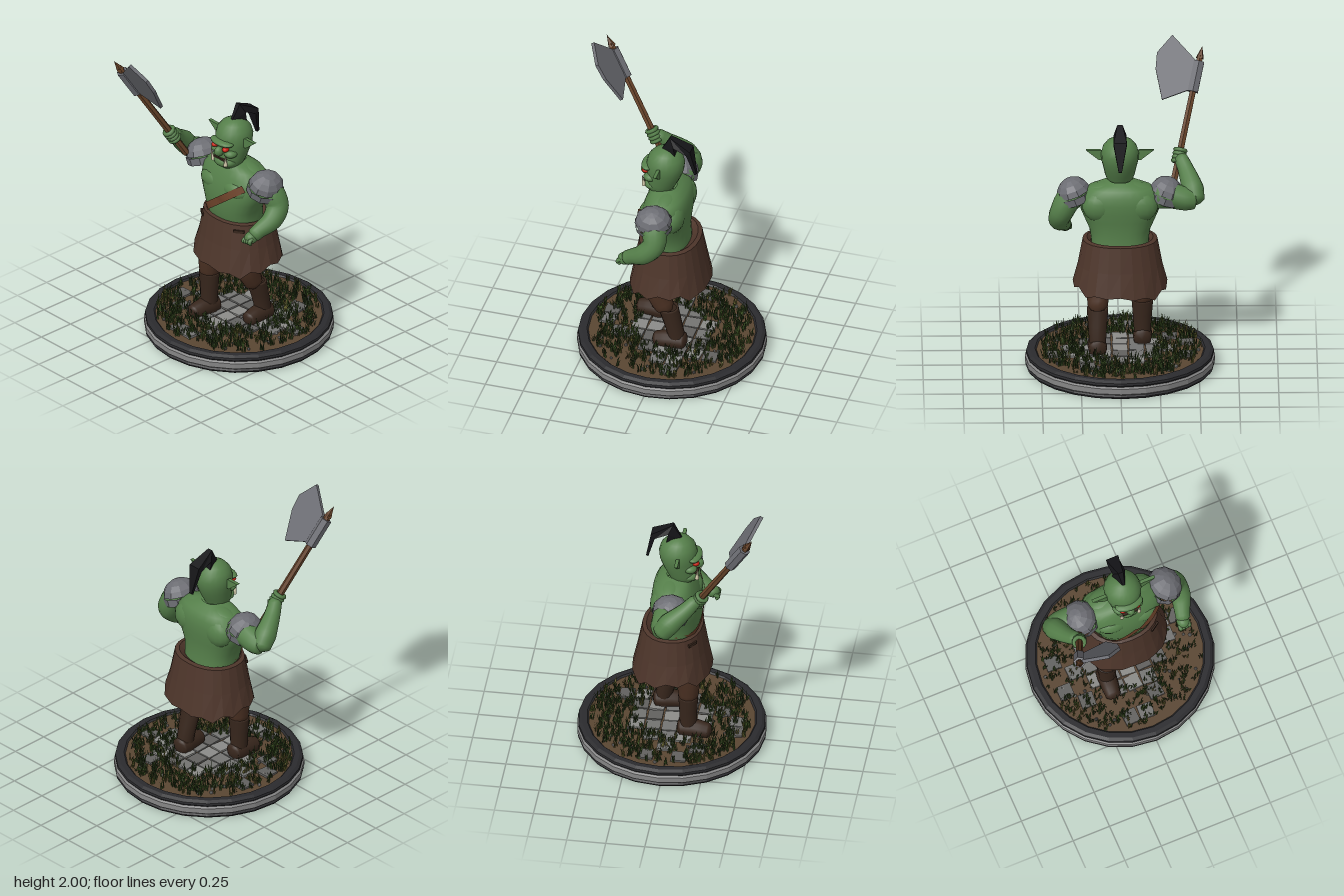
import * as THREE from 'three';
import { mergeVertices } from 'three/addons/utils/BufferGeometryUtils.js';

const mat = (color, flatShading = false) =>
  new THREE.MeshStandardMaterial({ color, flatShading, side: THREE.DoubleSide });
const SKIN = mat(0x557f4a), LEATHER = mat(0x4d352a, true), TROUSER = mat(0x4a3022), BOOT = mat(0x37261c);
const STEEL = mat(0x6c6d73, true), WOOD = mat(0x664329, true), BLACK = mat(0x151518, true), STRAP = mat(0x6b4129);
const BONE = mat(0xd8cfb0), RED = mat(0xc4200f), DARK = mat(0x2b2b2e, true), SILVER = mat(0x858585, true);
const SOIL = mat(0x5a4632), V = (a) => new THREE.Vector3(...a);

let seed = 7;
const rnd = () => (seed = (seed * 16807) % 2147483647) / 2147483647;

function add(parent, name, geo, material, pos = [0, 0, 0], rot = [0, 0, 0], scale = [1, 1, 1]) {
  const m = new THREE.Mesh(geo, material);
  m.name = name;
  m.position.set(...pos);
  m.rotation.set(...rot);
  m.scale.set(...scale);
  parent.add(m);
  return m;
}
const blob = (parent, name, material, pos, radii, rot) =>
  add(parent, name, new THREE.SphereGeometry(1, 16, 10), material, pos, rot, radii);

function fromArrays(pos, idx) {
  const g = new THREE.BufferGeometry();
  g.setAttribute('position', new THREE.Float32BufferAttribute(pos, 3));
  if (idx) g.setIndex(idx);
  g.computeVertexNormals();
  return g;
}

// Stacked rounded cross-sections, each [y, half width, half depth, centre z]
function loft(rows, seg, p = 2, yShift = () => 0) {
  const pos = [], idx = [];
  const r = (v) => Math.sign(v) * Math.abs(v) ** (2 / p);
  rows.forEach(([y, rx, rz, zc], j) => {
    for (let i = 0; i < seg; i++) {
      const a = (i / seg) * Math.PI * 2;
      pos.push(rx * r(Math.sin(a)), y + yShift(j, i), zc + rz * r(Math.cos(a)));
      if (j === 0) continue;
      const k = (i + 1) % seg, lo = (j - 1) * seg, hi = j * seg;
      idx.push(lo + i, lo + k, hi + k, lo + i, hi + k, hi + i);
    }
  });
  return fromArrays(pos, idx);
}

// Rounded limb along a path with a radius at each point
function limb(points, radii, seg = 12) {
  const c = new THREE.CatmullRomCurve3(points.map(V)), n = 20;
  c.getPointAt = (t) => c.getPoint(t);
  c.getTangentAt = (t) => c.getTangent(t);
  let g = new THREE.TubeGeometry(c, n, 1, seg);
  const p = g.attributes.position, v = new THREE.Vector3();
  for (let i = 0; i <= n; i++) {
    const t = i / n, u = t * (radii.length - 1), k = Math.min(Math.floor(u), radii.length - 2);
    const rad = THREE.MathUtils.lerp(radii[k], radii[k + 1], u - k) * Math.sqrt(Math.min(1, Math.min(t, 1 - t) / 0.1));
    const o = c.getPoint(t);
    for (let j = 0; j <= seg; j++) {
      const q = i * (seg + 1) + j;
      v.fromBufferAttribute(p, q).sub(o).multiplyScalar(rad).add(o);
      p.setXYZ(q, v.x, v.y, v.z);
    }
  }
  g.deleteAttribute('uv');
  g.deleteAttribute('normal');
  g = mergeVertices(g, 1e-5);
  g.computeVertexNormals();
  return g;
}
const plate = (pts, depth) => new THREE.ExtrudeGeometry(
  new THREE.Shape(pts.map((q) => new THREE.Vector2(...q))), { depth, bevelEnabled: false });

function buildBase(parent) {
  const base = new THREE.Group();
  base.name = 'base';
  base.position.z = -0.01;
  parent.add(base);
  const ring = (name, pts, m) => add(base, name, new THREE.LatheGeometry(pts.map((q) => new THREE.Vector2(...q)), 24), m);
  ring('baseFoot', [[0, 0], [0.59, 0], [0.6, 0.015], [0.59, 0.025]], DARK);
  ring('baseBand', [[0.59, 0.025], [0.603, 0.035], [0.603, 0.07], [0.59, 0.08]], SILVER);
  ring('baseRim', [[0.59, 0.08], [0.597, 0.09], [0.595, 0.105], [0.575, 0.118], [0.54, 0.118], [0.53, 0.108]], DARK);
  ring('soil', [[0.535, 0.108], [0, 0.113]], SOIL);
  // Broken paving, worn away toward the edge
  const stones = [mat(0x8b8b88), mat(0x747472), mat(0x62615f)];
  for (let i = -4; i <= 4; i++) for (let j = -4; j <= 4; j++) {
    const r = Math.hypot(i, j) * 0.105;
    if (r > 0.44 || (r > 0.24 && rnd() > 0.5)) continue;
    add(base, 'pavingStone', new THREE.BoxGeometry(0.095, 0.02, 0.095), stones[Math.floor(rnd() * 3)],
      [i * 0.105, 0.112, j * 0.105], [(rnd() - 0.5) * 0.08, (rnd() - 0.5) * 0.15, (rnd() - 0.5) * 0.08]);
  }
  for (let i = 0; i < 60; i++) {
    const a = rnd() * 6.283, r = 0.25 + rnd() * 0.26;
    add(base, 'pebble', new THREE.IcosahedronGeometry(0.007 + rnd() * 0.006), stones[i % 3], [r * Math.sin(a), 0.116, r * Math.cos(a)]);
  }
  // Grass tufts of bent blades
  [0x3c5222, 0x2c3d1b, 0x625f2c].forEach((color, c) => {
    const pos = [];
    for (let t = 0; t < [200, 170, 60][c]; t++) {
      const a = rnd() * 6.283, r = Math.sqrt(0.05 + rnd() * 0.215);
      for (let b = 0; b < 5; b++) {
        const x = r * Math.sin(a) + (rnd() - 0.5) * 0.025, z = r * Math.cos(a) + (rnd() - 0.5) * 0.025;
        const f = rnd() * 6.283, s = Math.sin(f), k = Math.cos(f), h = 0.035 + rnd() * 0.042, w = 0.0045, l = 0.012;
        const L = [x - k * w, 0.11, z + s * w], R = [x + k * w, 0.11, z - s * w];
        const M = [x + s * l * 0.4 + k * w, 0.11 + h * 0.6, z + k * l * 0.4 - s * w];
        pos.push(...L, ...R, ...M, ...L, ...M, x + s * l * 1.5, 0.11 + h, z + k * l * 1.5);
      }
    }
    add(base, 'grass', fromArrays(pos), mat(color));
  });
}

const TORSO = [[0.8, 0.18, 0.14, 0.01], [0.87, 0.185, 0.145, 0.02], [0.93, 0.195, 0.15, 0.03], [1.0, 0.225, 0.152, 0.027],
  [1.06, 0.25, 0.155, 0.023], [1.12, 0.255, 0.148, 0.015], [1.17, 0.25, 0.135, 0.01], [1.21, 0.2, 0.115, 0.01],
  [1.235, 0.12, 0.09, 0.02], [1.25, 0.07, 0.07, 0.03]];
function chestZ(x, y) {
  const j = Math.max(1, TORSO.findIndex((s) => s[0] >= y)), a = TORSO[j - 1], b = TORSO[j];
  const [, rx, rz, zc] = a.map((v, i) => THREE.MathUtils.lerp(v, b[i], (y - a[0]) / (b[0] - a[0])));
  return zc + rz * Math.max(0, 1 - Math.abs(x / rx) ** 2.4) ** (1 / 2.4) + 0.008;
}

function buildBody(g) {
  add(g, 'torso', loft(TORSO, 28, 2.4), SKIN);
  for (const s of [-1, 1]) {
    blob(g, 'chestMuscle', SKIN, [s * 0.1, 1.09, 0.11], [0.105, 0.065, 0.065]);
    blob(g, 'backMuscle', SKIN, [s * 0.13, 1.1, -0.06], [0.11, 0.1, 0.07]);
    blob(g, 'neckMuscle', SKIN, [s * 0.11, 1.2, 0], [0.12, 0.04, 0.07], [0, 0, -s * 0.2]);
  }
  // Diagonal chest strap
  const pos = [], idx = [];
  for (let i = 0; i <= 16; i++) {
    const x = 0.2 - i * 0.0235, y = 1.14 - i * 0.0178;
    for (const o of [-0.024, 0.024]) {
      const px = x - o * 0.6, py = y + o * 0.8;
      pos.push(px, py, chestZ(px, py) + (y > 1.03 ? 0.012 : 0.003));
    }
    if (i) idx.push(2 * i - 2, 2 * i - 1, 2 * i + 1, 2 * i - 2, 2 * i + 1, 2 * i);
  }
  add(g, 'chestStrap', fromArrays(pos, idx), STRAP);
  // Leather skirt with a ragged hem
  const hem = [0.02, 0, 0.01, -0.02, 0.03, 0.01, 0.05, 0.03, 0.055, 0, 0.02, 0.01];
  add(g, 'skirt', loft([[0.53, 0.3, 0.255, -0.005], [0.7, 0.268, 0.222, -0.005], [0.865, 0.237, 0.193, -0.003]], 24, 2.2,
    (j, i) => (j === 0 ? hem[i % 12] : 0)), LEATHER);
  add(g, 'skirtWaist', loft([[0.865, 0.237, 0.193, -0.003], [0.872, 0.21, 0.17, 0], [0.83, 0.17, 0.13, 0.01]], 24, 2.2), LEATHER);
  for (const s of [-1, 1]) add(g, 'beltTab', new THREE.BoxGeometry(0.07, 0.02, 0.02), BOOT, [s * 0.17, 0.825, 0.145], [0, s * 0.6, 0]);
}

function buildHead(g) {
  add(g, 'skull', loft([[1.2, 0.06, 0.06, 0.05], [1.235, 0.08, 0.085, 0.065], [1.28, 0.095, 0.1, 0.055], [1.33, 0.105, 0.11, 0.042],
    [1.38, 0.117, 0.12, 0.034], [1.43, 0.12, 0.122, 0.03], [1.475, 0.108, 0.11, 0.03], [1.51, 0.08, 0.08, 0.03],
    [1.53, 0.045, 0.045, 0.03], [1.537, 0.002, 0.002, 0.03]], 20), SKIN);
  blob(g, 'jaw', SKIN, [0, 1.265, 0.105], [0.085, 0.045, 0.07]);
  blob(g, 'brow', SKIN, [0, 1.405, 0.135], [0.095, 0.022, 0.05]);
  blob(g, 'nose', SKIN, [0, 1.345, 0.16], [0.028, 0.035, 0.035]);
  add(g, 'mouth', new THREE.BoxGeometry(0.1, 0.01, 0.04), BOOT, [0, 1.293, 0.143]);
  for (const s of [-1, 1]) {
    blob(g, 'eye', RED, [s * 0.05, 1.372, 0.15], [0.021, 0.017, 0.024]);
    blob(g, 'cheek', SKIN, [s * 0.06, 1.335, 0.115], [0.042, 0.028, 0.045]);
    add(g, 'tusk', new THREE.ConeGeometry(0.014, 0.085, 8), BONE, [s * 0.063, 1.302, 0.162], [0.1, 0, -s * 0.12]);
    add(g, 'ear', plate([[0.1, 1.375], [0.135, 1.38], [0.215, 1.445], [0.125, 1.445], [0.1, 1.43]], 0.022), SKIN,
      [0, 0, 0.033], [0, 0, 0], [s, 1, 1]);
  }
  // Swept-back crest, narrowed at its peak and ends
  const crest = plate([[0.06, 1.52], [0, 1.63], [-0.14, 1.56], [-0.175, 1.375], [-0.16, 1.368], [-0.115, 1.53], [-0.03, 1.57], [-0.04, 1.51]], 0.084);
  crest.translate(0, 0, -0.042).rotateY(-Math.PI / 2);
  const p = crest.attributes.position;
  for (let i = 0; i < p.count; i++) {
    const y = p.getY(i), z = p.getZ(i);
    p.setX(i, p.getX(i) * (y < 1.4 ? 0.25 : z > 0.04 ? 0.15 : y > 1.6 ? 0.4 : 1));
  }
  crest.computeVertexNormals();
  add(g, 'hairCrest', crest, BLACK);
}

function buildArms(g) {
  add(g, 'rightUpperArm', limb([[-0.2, 1.15, 0], [-0.32, 1.15, 0], [-0.42, 1.13, -0.01], [-0.49, 1.125, 0]], [0.085, 0.085, 0.075, 0.06]), SKIN);
  add(g, 'rightForearm', limb([[-0.475, 1.09, -0.03], [-0.46, 1.18, 0.04], [-0.42, 1.27, 0.14], [-0.375, 1.35, 0.22]], [0.06, 0.072, 0.052, 0.04]), SKIN);
  add(g, 'leftArm', limb([[0.22, 1.16, 0.01], [0.31, 1.14, 0.01], [0.37, 1.04, 0], [0.385, 0.965, 0.06], [0.36, 0.91, 0.15], [0.345, 0.87, 0.21]],
    [0.08, 0.085, 0.075, 0.067, 0.05, 0.045], 14), SKIN);
  blob(g, 'leftHand', SKIN, [0.345, 0.875, 0.2], [0.042, 0.04, 0.045]);
  for (let i = 0; i < 4; i++) add(g, 'leftFinger', limb([[0.37 - i * 0.019, 0.885 - i * 0.004, 0.21],
    [0.372 - i * 0.019, 0.865 - i * 0.004, 0.238], [0.366 - i * 0.019, 0.838, 0.222]], [0.014, 0.014, 0.011], 6), SKIN);
  // Faceted shoulder plates: a dome over a lower band
  for (const s of [-1, 1]) {
    const pad = new THREE.Group();
    pad.name = 'shoulderPlate';
    pad.position.set(s * 0.29, 1.155, 0.025);
    pad.rotation.z = -s * 0.35;
    g.add(pad);
    add(pad, 'shoulderDome', new THREE.SphereGeometry(0.112, 10, 4, 0, 6.2832, 0, Math.PI * 0.48), STEEL, [0, 0.005, 0], [0, 0, 0], [0.98, 0.92, 1.08]);
    add(pad, 'shoulderBand', new THREE.CylinderGeometry(0.115, 0.112, 0.05, 10, 1, true), STEEL, [0, -0.02, 0], [0, 0, 0], [1, 1, 1.06]);
  }
}

function buildLegs(g) {
  // Right leg steps forward, left leg trails; z at hip, knee, boot top and ankle
  for (const [side, s, hip, knee, calf, ankle] of [['right', -1, 0.02, 0.11, 0.115, 0.115], ['left', 1, 0, 0.045, -0.03, -0.08]]) {
    add(g, side + 'Thigh', limb([[s * 0.09, 0.88, hip], [s * 0.115, 0.7, (hip + knee) / 2], [s * 0.135, 0.52, knee], [s * 0.143, 0.34, calf]],
      [0.1, 0.105, 0.08, 0.055]), TROUSER);
    add(g, side + 'Boot', loft([[0.11, 0.056, 0.06, ankle], [0.2, 0.055, 0.055, ankle], [0.3, 0.062, 0.058, (calf + ankle) / 2],
      [0.39, 0.069, 0.064, calf], [0.4, 0.069, 0.064, calf], [0.395, 0.05, 0.05, calf]], 14).translate(s * 0.143, 0, 0), BOOT);
    add(g, side + 'Foot', limb([[s * 0.142, 0.15, ankle - 0.075], [s * 0.144, 0.155, ankle], [s * 0.15, 0.15, ankle + 0.08], [s * 0.155, 0.14, ankle + 0.155]],
      [0.055, 0.062, 0.056, 0.045]), BOOT);
  }
}

function buildAxe(g) {
  // Local y runs along the handle, local x toward the cutting edge
  const axe = new THREE.Group();
  axe.name = 'axe';
  const d = V([-0.185, 0.74, 0.44]).normalize();
  const e = V([1, 0, 0]).addScaledVector(d, -d.x).normalize();
  axe.quaternion.setFromRotationMatrix(new THREE.Matrix4().makeBasis(e, d, e.clone().cross(d)));
  axe.position.set(-0.34, 1.18, 0.13);
  g.add(axe);
  add(axe, 'axeHandle', new THREE.CylinderGeometry(0.021, 0.024, 0.84, 6), WOOD, [0, 0.42, 0]);
  add(axe, 'axeHandleTip', new THREE.ConeGeometry(0.027, 0.08, 5), WOOD, [0, 0.86, 0]);
  add(axe, 'axeSocket', new THREE.CylinderGeometry(0.038, 0.038, 0.2, 6), STEEL, [0, 0.7, 0]);
  add(axe, 'axeBlade', plate([[0.02, 0.61], [0.18, 0.51], [0.26, 0.695], [0.273, 0.8], [0.2, 0.93], [0.02, 0.8]], 0.022), STEEL, [0, 0, -0.011]);
  for (let i = 0; i < 4; i++) add(axe, 'rightFinger', new THREE.TorusGeometry(0.033, 0.014, 6, 12), SKIN, [0, 0.145 + i * 0.024, 0], [Math.PI / 2, 0, 0]);
}

export function createModel() {
  const model = new THREE.Group();
  model.name = 'axeWarrior';
  for (const build of [buildBase, buildBody, buildHead, buildArms, buildLegs, buildAxe]) build(model);
  return model;
}
